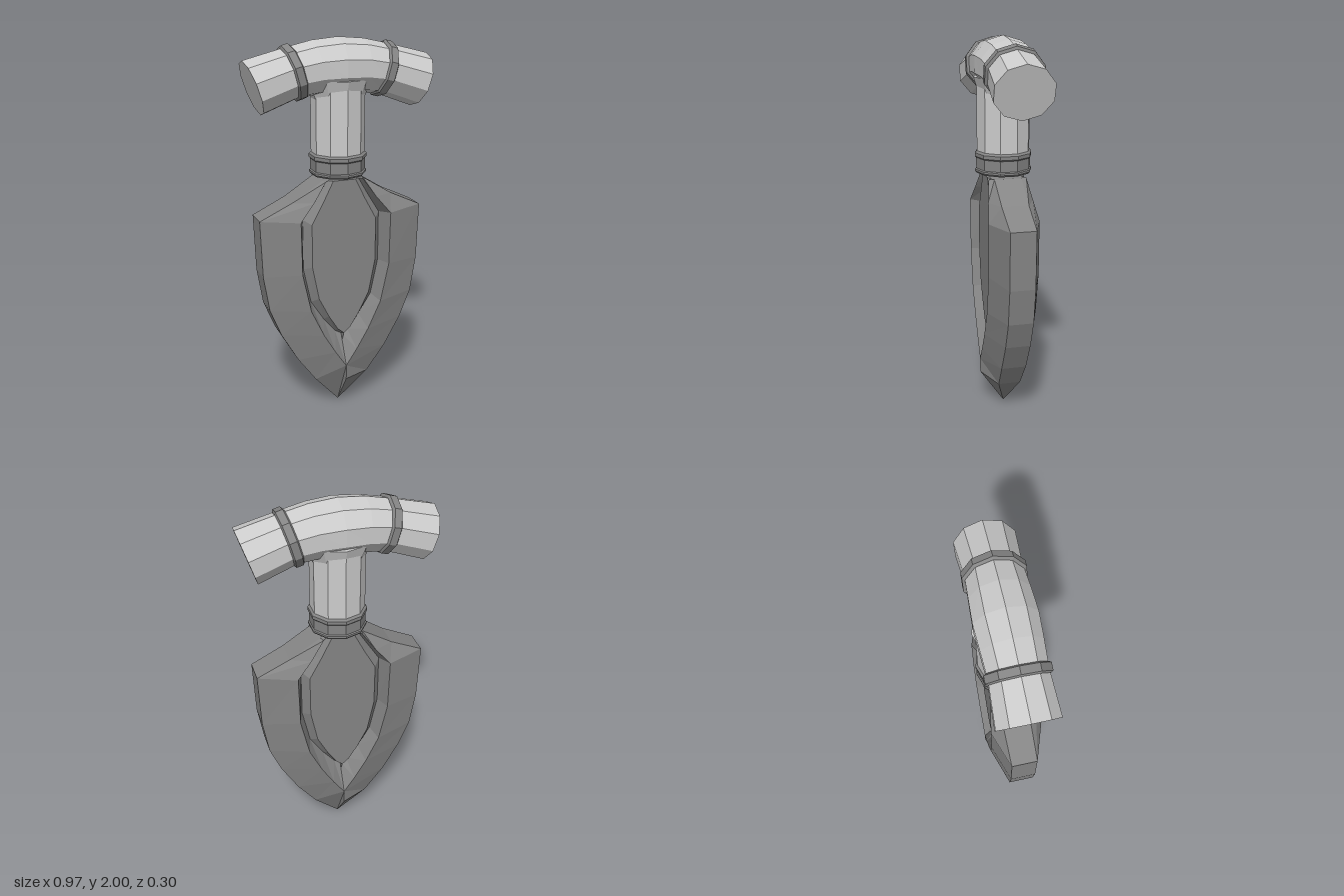
import * as THREE from 'three';

const gripMat = new THREE.MeshStandardMaterial({ color: 0xcccccc, flatShading: true });
const steelMat = new THREE.MeshStandardMaterial({ color: 0x858585, flatShading: true });

// Skin a stack of closed loops (clockwise when looking along the stack), with both ends capped.
function loft(loops) {
  const pos = [];
  const tri = (...pts) => pts.forEach((p) => pos.push(...p));
  const n = loops[0].length;
  for (let i = 0; i < loops.length - 1; i++) {
    for (let j = 0; j < n; j++) {
      const k = (j + 1) % n;
      const a = loops[i][j], b = loops[i][k], c = loops[i + 1][j], d = loops[i + 1][k];
      if ([a, b, c, d].every((p) => p[0] === 0)) continue; // folded onto the centre plane
      tri(a, b, d);
      tri(a, d, c);
    }
  }
  const cap = (loop, flip) => {
    const mid = [0, 1, 2].map((q) => loop.reduce((s, p) => s + p[q], 0) / n);
    loop.forEach((p, j) => {
      const next = loop[(j + 1) % n];
      if (flip) tri(mid, next, p);
      else tri(mid, p, next);
    });
  };
  cap(loops[0], true);
  cap(loops[loops.length - 1], false);
  const g = new THREE.BufferGeometry();
  g.setAttribute('position', new THREE.Float32BufferAttribute(pos, 3));
  g.computeVertexNormals();
  return g;
}

function add(parent, name, geometry, material) {
  const mesh = new THREE.Mesh(geometry, material);
  mesh.name = name;
  parent.add(mesh);
  return mesh;
}

// Blade section: outer edge, raised rim, groove and panel edge, mirrored in x and z.
function bladeLoop(points) {
  const flip = (p, sx, sz) => [p[0] === 0 ? 0 : p[0] * sx, p[1], p[2] * sz];
  const back = [...points].reverse();
  return [
    ...points,
    ...back.map((p) => flip(p, -1, 1)),
    ...points.map((p) => flip(p, -1, -1)),
    ...back.map((p) => flip(p, 1, -1)),
  ];
}

// Ten-sided handle section, tilted square to the handle's axis.
function handleLoop(x, y, tilt, r) {
  return Array.from({ length: 10 }, (_, j) => {
    const a = (j / 10) * Math.PI * 2;
    const up = Math.cos(a) * r;
    return [x + Math.sin(tilt) * up, y + Math.cos(tilt) * up, Math.sin(a) * r * 1.08];
  });
}

function lathe(points) {
  return new THREE.LatheGeometry(points.map(([r, y]) => new THREE.Vector2(r, y)), 10);
}

export function createModel() {
  const model = new THREE.Group();
  model.name = 'pushDagger';

  // Blade, from the shoulders down to the point
  const rim = 0.13, groove = 0.05, panel = 0.095, edge = 0.065;
  const rows = [
    [[0.11, 1.3, 0.07], [0.1, 1.3, 0.097], [0.085, 1.3, 0.07], [0.06, 1.3, panel]],
    [[0.27, 1.2, 0.068], [0.17, 1.2, 0.115], [0.15, 1.195, 0.055], [0.115, 1.19, panel]],
    [[0.44, 1.12, edge], [0.245, 1.11, rim], [0.21, 1.1, groove], [0.175, 1.08, panel]],
    [[0.43, 0.82, edge], [0.24, 0.83, rim], [0.21, 0.83, groove], [0.175, 0.85, panel]],
    [[0.4, 0.63, edge], [0.195, 0.62, rim], [0.17, 0.64, groove], [0.14, 0.67, panel]],
    [[0.34, 0.48, edge], [0.125, 0.47, rim], [0.1, 0.53, groove], [0.085, 0.56, panel]],
    [[0.25, 0.32, edge], [0.06, 0.36, rim], [0.035, 0.45, groove], [0.035, 0.48, panel]],
    [[0.15, 0.18, edge * 0.9], [0, 0.27, rim], [0, 0.43, groove], [0, 0.45, panel]],
    [[0, 0, 0], [0, 0.19, rim], [0, 0.43, groove], [0, 0.45, panel]],
  ];
  add(model, 'blade', loft(rows.map(bladeLoop)), steelMat);

  // Stem, with a flared neck where it enters the handle
  add(model, 'stem', new THREE.CylinderGeometry(0.137, 0.137, 0.45, 10).translate(0, 1.575, 0), gripMat);
  add(model, 'stemFlare', new THREE.CylinderGeometry(0.175, 0.135, 0.1, 10)
    .scale(1, 1, 0.87).translate(0, 1.75, 0), gripMat);

  // Collar at the foot of the stem
  add(model, 'collar', lathe([
    [0, 1.315], [0.138, 1.315], [0.147, 1.325], [0.147, 1.335], [0.141, 1.34], [0.141, 1.395],
    [0.148, 1.402], [0.148, 1.42], [0.137, 1.43], [0, 1.43],
  ]), steelMat);

  // Curved handle, flared at both ends
  const half = [
    [0.442, 1.772, 0.31, 0.139],
    [0.24, 1.835, 0.26, 0.127],
    [0.12, 1.855, 0.12, 0.134],
  ];
  const stations = [
    ...half.map(([x, y, t, r]) => [-x, y, -t, r]),
    [0, 1.86, 0, 0.14],
    ...[...half].reverse(),
  ];
  add(model, 'handle', loft(stations.map((s) => handleLoop(...s))), gripMat);

  // Bands around the handle
  for (const side of [-1, 1]) {
    const tilt = side * 0.27;
    const profile = [[-0.025, 0.13], [-0.018, 0.141], [0.018, 0.141], [0.025, 0.13]];
    const loops = profile.map(([s, r]) => handleLoop(
      side * 0.236 + s * Math.cos(tilt), 1.836 - s * Math.sin(tilt), tilt, r));
    add(model, side > 0 ? 'leftBand' : 'rightBand', loft(loops), steelMat);
  }

  return model;
}
